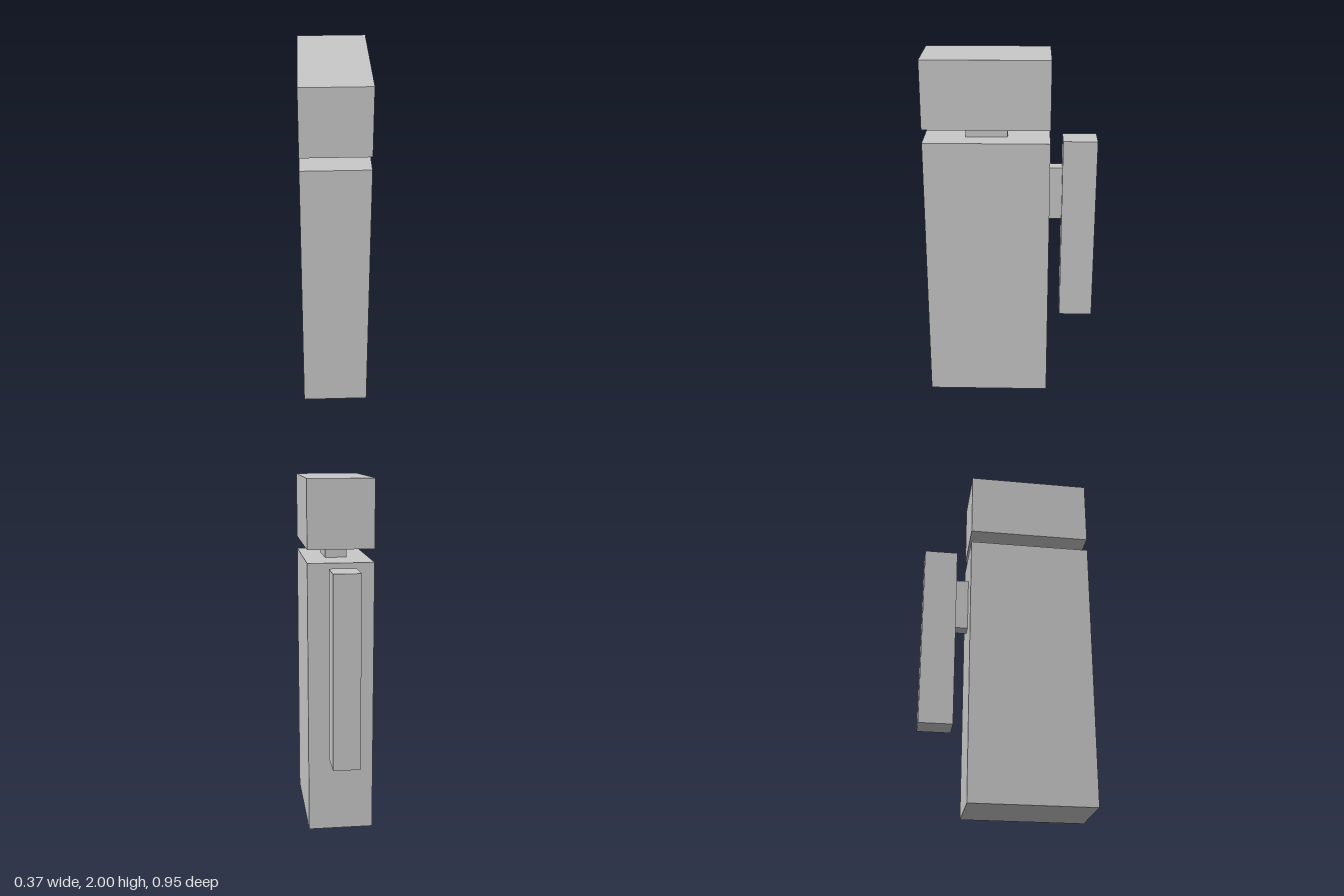
import * as THREE from 'three';

export function createModel() {
  const group = new THREE.Group();
  const grey = new THREE.MeshStandardMaterial({ color: 0xc8c8c8 });
  grey.name = 'light grey';

  // Box given by its width (centred on x) and its y and z ranges
  const addBox = (name, width, [y0, y1], [z0, z1]) => {
    const mesh = new THREE.Mesh(new THREE.BoxGeometry(width, y1 - y0, z1 - z0), grey);
    mesh.position.set(0, (y0 + y1) / 2, (z0 + z1) / 2);
    mesh.name = name;
    group.add(mesh);
  };

  // Main block, neck and cap
  addBox('body', 0.368, [0, 1.55], [-0.215, 0.477]);
  addBox('neck', 0.124, [1.55, 1.623], [0.018, 0.25]);
  addBox('cap', 0.368, [1.623, 2], [-0.215, 0.477]);

  // Handle behind the body, held by a small bracket
  addBox('bracket', 0.074, [1.058, 1.365], [-0.287, -0.215]);
  addBox('handle', 0.15, [0.458, 1.53], [-0.477, -0.287]);

  return group;
}
